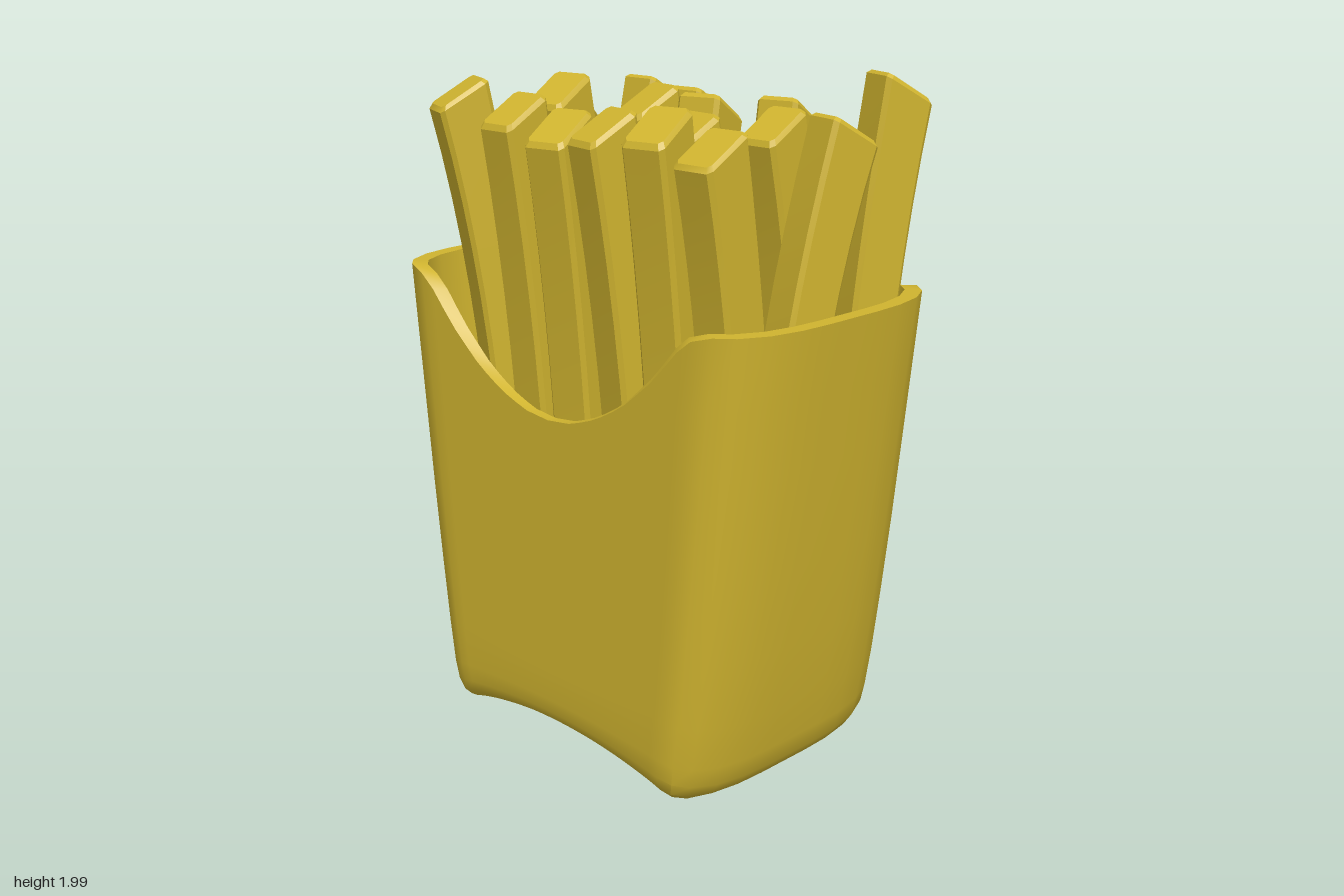
import * as THREE from 'three';
import { toCreasedNormals } from 'three/addons/utils/BufferGeometryUtils.js';

// Piecewise-linear lookup in a list of [key, value] points
function lookup(points, k) {
  if (k <= points[0][0]) return points[0][1];
  for (let i = 1; i < points.length; i++) {
    const [k0, v0] = points[i - 1], [k1, v1] = points[i];
    if (k <= k1) return v0 + (v1 - v0) * (k - k0) / (k1 - k0);
  }
  return points[points.length - 1][1];
}

// Skin a stack of equal loops and close both ends with strips
function loft(rings, crease) {
  const n = rings[0].length, index = [];
  for (let j = 0; j < rings.length - 1; j++) {
    for (let i = 0; i < n; i++) {
      const a = j * n + i, b = j * n + (i + 1) % n;
      index.push(a, b, b + n, a, b + n, a + n);
    }
  }
  const last = (rings.length - 1) * n;
  for (let i = 0; i < n / 2 - 1; i++) {
    const a = i, b = i + 1, c = n - 2 - i, d = n - 1 - i;
    index.push(a, c, b, a, d, c);
    index.push(last + a, last + b, last + c, last + a, last + c, last + d);
  }
  const g = new THREE.BufferGeometry();
  g.setAttribute('position', new THREE.Float32BufferAttribute(rings.flat(2), 3));
  g.setIndex(index);
  return toCreasedNormals(g, crease);
}

// Carton: flaring sleeve with scooped sides and an arched base
const HALF_DEPTH = [[0, 0.48], [0.02, 0.525], [0.06, 0.555], [0.2, 0.585], [0.6, 0.642], [1.4, 0.735]];
const SCOOP = [[0, 1.05], [0.1, 1.06], [0.2, 1.095], [0.3, 1.15], [0.4, 1.235],
  [0.45, 1.29], [0.5, 1.35], [0.55, 1.39], [0.6, 1.4]];
const CORNER_INSET = [[0, 0.92], [0.02, 0.965], [0.06, 0.99], [0.12, 1]];

function cartonGeometry() {
  const corner = [[0.1, 1], [0.2, 0.993], [0.3, 0.966], [0.38, 0.91], [0.42, 0.845], [0.4325, 0.76]];
  const side = [];
  for (let i = 1; i < 24; i++) side.push([0.4325, 0.76 * (1 - i / 12)]);
  const half = [...corner, ...side, ...corner.map(([x, u]) => [x, -u]).reverse()];
  const outline = [...half, ...half.map(([x, u]) => [-x, u]).reverse()];

  const ring = (h, inside) => outline.map(([x, u]) => {
    const bottom = 0.095 * (1 - u * u);
    const top = lookup(SCOOP, Math.abs(u) * 0.71);
    const y = bottom + (top - bottom) * h / 1.4;
    const depth = lookup(HALF_DEPTH, y) - (inside ? 0.045 : 0);
    const width = inside ? 0.93 : lookup(CORNER_INSET, h);
    return [x * width, y, u * depth];
  });
  const outer = [0, 0.02, 0.06, 0.12, 0.25, 0.45, 0.7, 1, 1.2, 1.4].map(h => ring(h, false));
  const inner = [1.4, 1.2, 1, 0.7, 0.45, 0.25, 0.08].map(h => ring(h, true));
  return loft([...outer, ...inner], 0.6);
}

// Fry: chamfered square stick that bends towards local +x, cut at a slant
function fryGeometry(bottom, top, lean) {
  const w = 0.073, d = 0.068, c = 0.012;
  const section = [[w - c, d], [w, d - c], [w, c - d], [w - c, -d],
    [c - w, -d], [-w, c - d], [-w, d - c], [c - w, d]];
  const ring = (t, size) => section.map(([x, z]) => {
    const y = bottom + (top - 0.045 - bottom) * t;
    const slant = 0.6 * t ** 4;
    return [x * size + lean * t * t, y - x * size * slant, z * size];
  });
  const rings = [ring(0, 1)];
  for (let i = 1; i <= 10; i++) rings.push(ring(i / 10 * 0.992, 1));
  rings.push(ring(1, 0.87));
  return loft(rings, 0.5);
}

// Each fry: tip x, tip z, base x, base z, top height
const FRIES = [
  [-0.36, -0.49, -0.21, -0.43, 1.96],
  [-0.355, -0.25, -0.22, -0.25, 1.93],
  [-0.355, -0.06, -0.22, -0.085, 1.9],
  [-0.355, 0.115, -0.22, 0.14, 1.92],
  [-0.36, 0.33, -0.22, 0.305, 1.94],
  [-0.355, 0.515, -0.22, 0.515, 1.9],
  [0.395, -0.445, 0.21, -0.445, 1.92],
  [0.395, -0.255, 0.21, -0.24, 1.9],
  [0.395, 0.12, 0.22, 0.155, 1.9],
  [0.39, 0.53, 0.27, 0.48, 2],
  [0.02, -0.1, 0.2, -0.065, 1.94],
  [0.15, -0.56, -0.05, -0.45, 1.87],
  [-0.165, -0.275, 0.035, -0.3, 1.97],
  [-0.21, 0.28, -0.02, 0.3, 1.91],
  [0.105, 0.08, -0.1, 0.125, 1.93],
  [0.095, 0.32, 0.275, 0.32, 1.9],
  [0.175, 0.515, -0.03, 0.455, 1.9],
];

export function createModel() {
  const golden = new THREE.MeshStandardMaterial({ color: 0xd0b42f });
  golden.name = 'golden yellow';

  const model = new THREE.Group();
  model.name = 'cartonOfFries';

  const carton = new THREE.Mesh(cartonGeometry(), golden);
  carton.name = 'carton';
  carton.position.x = -0.033;
  model.add(carton);

  const fries = new THREE.Group();
  fries.name = 'fries';
  for (const [tipX, tipZ, baseX, baseZ, top] of FRIES) {
    const dx = tipX - baseX, dz = tipZ - baseZ;
    const bottom = Math.abs(baseZ) > 0.35 ? 0.45 : 0.15;
    const fry = new THREE.Mesh(fryGeometry(bottom, top, Math.hypot(dx, dz)), golden);
    fry.name = 'fry';
    fry.position.set(baseX, 0, baseZ);
    fry.rotation.y = -Math.atan2(dz, dx);
    fries.add(fry);
  }
  model.add(fries);
  return model;
}
